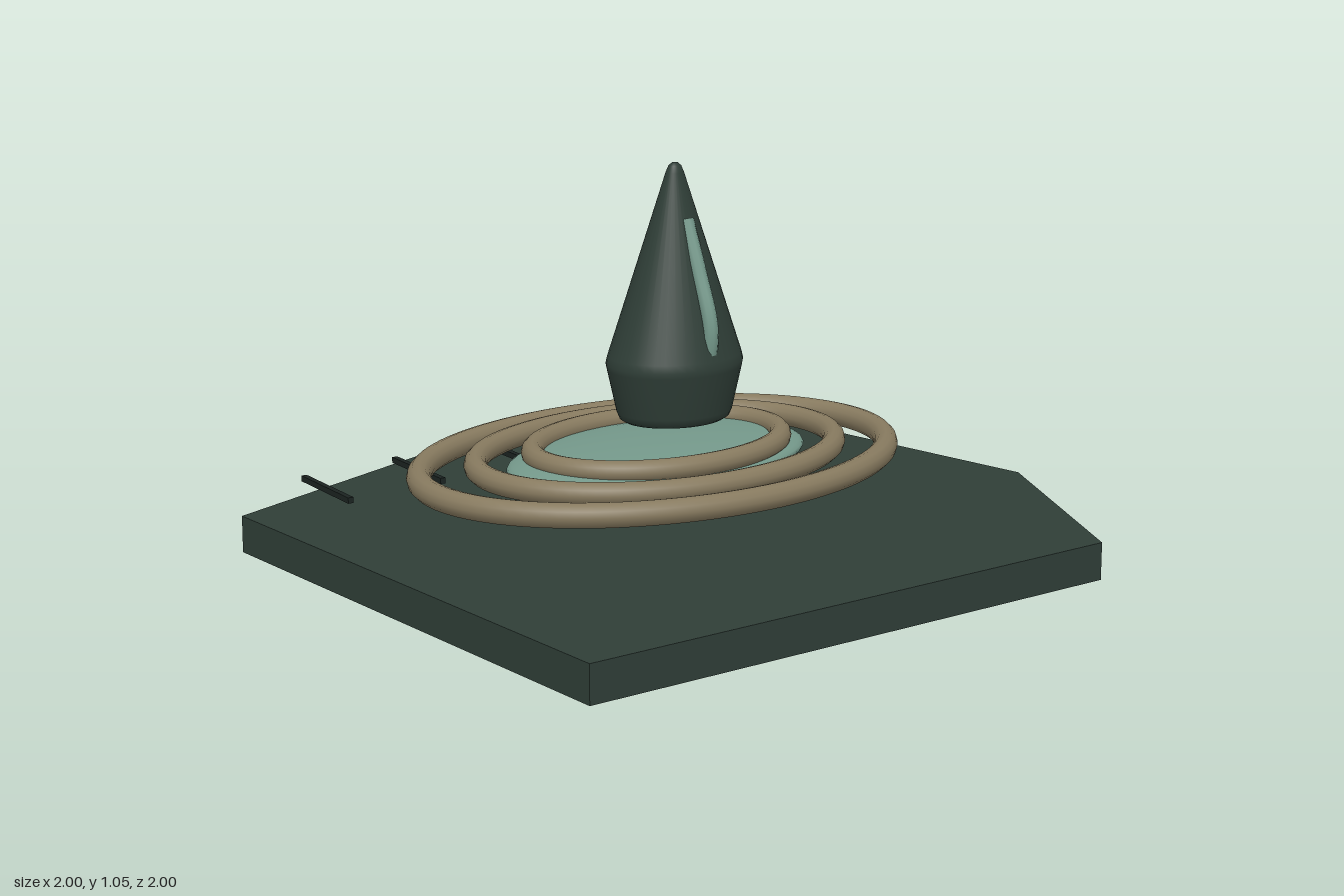
import * as THREE from 'three';

const mat = (name, color, side = THREE.FrontSide) => {
  const m = new THREE.MeshStandardMaterial({ color, side });
  m.name = name;
  return m;
};

export function createModel() {
  const group = new THREE.Group();
  const darkGreen = mat('dark green', 0x2f3e37);
  const paleTeal = mat('pale teal', 0x74988a);
  const tan = mat('tan', 0x877a5f);
  const nearBlack = mat('near black', 0x1b2321);

  const add = (name, geometry, material, x = 0, y = 0, z = 0) => {
    const mesh = new THREE.Mesh(geometry, material);
    mesh.name = name;
    mesh.position.set(x, y, z);
    group.add(mesh);
    return mesh;
  };

  // Irregular six-sided slab, outline given as x, z
  const outline = [[-1, 0.87], [0.62, 1], [1, 0.38], [0.93, -0.76], [0.21, -1], [-0.89, -0.69]];
  const slab = new THREE.ExtrudeGeometry(
    new THREE.Shape(outline.map(([x, z]) => new THREE.Vector2(x, -z))),
    { depth: 0.1, bevelEnabled: false }
  );
  add('baseSlab', slab.rotateX(-Math.PI / 2), darkGreen);

  // Flattened pool under the rings
  const pool = new THREE.SphereGeometry(1, 48, 24).scale(0.46, 0.05, 0.3);
  add('pool', pool, paleTeal, -0.013, 0.25, -0.01);

  // Three stepped oval ripples of round section
  class Oval extends THREE.Curve {
    constructor(a, b) {
      super();
      this.a = a;
      this.b = b;
    }
    getPoint(t, target = new THREE.Vector3()) {
      const u = t * Math.PI * 2;
      return target.set(this.a * Math.cos(u), 0, this.b * Math.sin(u));
    }
  }
  [[0.702, 0.506, 0.246, 0.033], [0.538, 0.392, 0.264, 0.031], [0.373, 0.27, 0.285, 0.03]].forEach(
    ([a, b, y, r], i) =>
      add(`ripple${i + 1}`, new THREE.TubeGeometry(new Oval(a, b), 96, r, 12, true), tan, -0.013, y, -0.01)
  );

  // Tapered drop, slightly flattened front to back
  const wall = [
    [0, 0.365], [0.145, 0.365], [0.157, 0.372], [0.165, 0.39], [0.192, 0.505], [0.195, 0.52],
    [0.19, 0.54], [0.026, 1.02], [0.018, 1.038], [0.008, 1.046], [0, 1.047]
  ].map(([r, y]) => new THREE.Vector2(r, y));
  add('drop', new THREE.LatheGeometry(wall, 40).scale(1, 1, 0.84), darkGreen, -0.013, 0, 0.057);

  // Pale streak running down the front of the drop
  const streak = new THREE.CatmullRomCurve3([
    new THREE.Vector3(0, 0.9, 0.1),
    new THREE.Vector3(0, 0.77, 0.15),
    new THREE.Vector3(0, 0.62, 0.197),
    new THREE.Vector3(0, 0.48, 0.176)
  ]);
  add('streak', new THREE.TubeGeometry(streak, 24, 0.021, 10), paleTeal, -0.013);
  add('streakTip', new THREE.SphereGeometry(0.021, 12, 8), paleTeal, -0.013, 0.888, 0.1);

  // Row of slanted thin bars along the back
  for (let i = 0; i < 5; i++) {
    const bar = add('bar' + (i + 1), new THREE.BoxGeometry(0.016, 0.016, 0.28), nearBlack,
      -0.65 + i * 0.3075, 0.142, -0.637);
    bar.rotation.y = -0.15;
  }

  return group;
}
